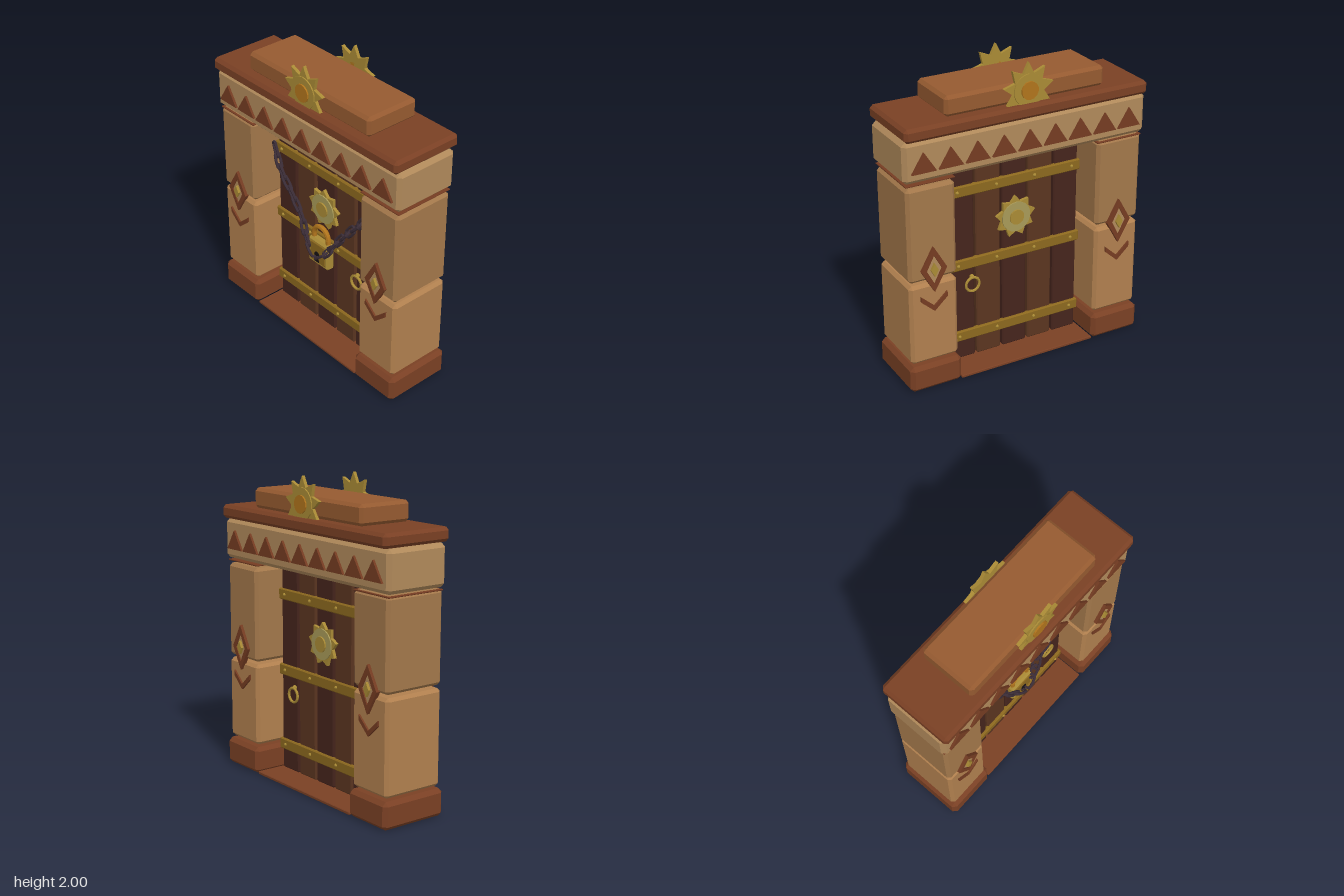
import * as THREE from 'three';
import { ConvexGeometry } from 'three/addons/geometries/ConvexGeometry.js';

const mat = (color) => new THREE.MeshStandardMaterial({ color, flatShading: true });
const M = {
  red: mat(0x7a4024), cap: mat(0x955a30), trim: mat(0x753c22), lintel: mat(0xb0895a),
  upper: mat(0xa2774a), lower: mat(0xb07f4e), plankA: mat(0x45241c), plankB: mat(0x5a3520),
  brass: mat(0x8c681e), gold: mat(0xa98a35), pale: mat(0xa89a58), amber: mat(0xb0741c),
  iron: mat(0x3a2c36), black: mat(0x151012),
};

function add(parent, name, geo, material, x = 0, y = 0, z = 0) {
  const m = new THREE.Mesh(geo, material);
  m.name = name;
  m.position.set(x, y, z);
  parent.add(m);
  return m;
}

// Box with chamfered edges, given by its extents
function block(parent, name, material, x0, x1, y0, y1, z0, z1, b = 0.02) {
  const h = [(x1 - x0) / 2, (y1 - y0) / 2, (z1 - z0) / 2];
  const pts = [];
  for (const sx of [-1, 1]) for (const sy of [-1, 1]) for (const sz of [-1, 1])
    for (let k = 0; k < 3; k++) {
      const d = h.map((v, i) => (i === k ? v : v - b));
      pts.push(new THREE.Vector3(sx * d[0], sy * d[1], sz * d[2]));
    }
  return add(parent, name, new ConvexGeometry(pts), material, (x0 + x1) / 2, (y0 + y1) / 2, (z0 + z1) / 2);
}

// Flat plate cut from an outline, from z = 0 forward
function plate(points, depth, hole) {
  const shape = new THREE.Shape(points.map(([x, y]) => new THREE.Vector2(x, y)));
  if (hole) shape.holes.push(new THREE.Path(hole.map(([x, y]) => new THREE.Vector2(x, y))));
  return new THREE.ExtrudeGeometry(shape, { depth, bevelEnabled: false });
}

const diamond = (w, h) => [[w, 0], [0, h], [-w, 0], [0, -h]];
const disc = (r, depth, n = 16) => new THREE.CylinderGeometry(r, r, depth, n).rotateX(Math.PI / 2);

function sun(parent, name, y, z, r, rim, core, coreMat, rimMat) {
  const g = new THREE.Group();
  g.name = name;
  g.position.set(0, y, z);
  const pts = [];
  for (let i = 0; i < 18; i++) {
    const a = Math.PI / 2 + (i * Math.PI) / 9, d = i % 2 ? rim * 0.98 : r;
    pts.push([Math.cos(a) * d, Math.sin(a) * d]);
  }
  add(g, 'sunRays', plate(pts, 0.022), M.gold);
  add(g, 'sunDisc', disc(rim * 0.95, 0.03, 18), rimMat, 0, 0, 0.015);
  add(g, 'sunCore', disc(core, 0.04, 14), coreMat, 0, 0, 0.02);
  parent.add(g);
}

// Ornaments carried by both faces; ringX is the handle side
function face(name, ringX) {
  const g = new THREE.Group();
  g.name = name;
  const tri = plate([[-0.08, 0], [0.08, 0], [0, 0.125]], 0.025);
  for (let i = -4; i <= 4; i++) add(g, 'friezeTriangle', tri, M.trim, i * 0.176, 1.465, 0.21);
  sun(g, 'crestSun', 1.83, 0.185, 0.17, 0.108, 0.057, M.amber, M.gold);
  sun(g, 'doorSun', 0.945, 0.035, 0.14, 0.105, 0.05, M.gold, M.pale);

  for (const s of [-1, 1]) {
    const x = s * 0.657;
    add(g, 'diamondFrame', plate(diamond(0.085, 0.15), 0.03, diamond(0.05, 0.095)), M.trim, x, 0.825, 0.2);
    add(g, 'diamondInlay', plate(diamond(0.052, 0.098), 0.022), M.lintel, x, 0.825, 0.2);
    add(g, 'diamondStud', plate(diamond(0.024, 0.045), 0.04), M.gold, x, 0.825, 0.2);
    add(g, 'chevron', plate([[-0.088, 0.655], [-0.088, 0.62], [0, 0.54], [0.088, 0.62], [0.088, 0.655], [0, 0.575]], 0.02),
      M.trim, x, 0, 0.202);
  }

  // Door bands with rivets
  for (const y of [0.19, 0.695, 1.195]) {
    block(g, 'band', M.brass, -0.47, 0.47, y - 0.036, y + 0.036, 0.02, 0.052, 0.007);
    for (const x of [-0.405, -0.135, 0.135, 0.405])
      add(g, 'rivet', new THREE.SphereGeometry(0.011, 8, 6), M.gold, x, y, 0.052);
  }

  // Ring handle
  add(g, 'ringHandle', new THREE.TorusGeometry(0.047, 0.009, 6, 16), M.gold, ringX, 0.548, 0.056);
  add(g, 'ringMount', new THREE.SphereGeometry(0.016, 8, 6), M.gold, ringX, 0.597, 0.045);
  return g;
}

// Stretched ring, long in x
function linkGeometry() {
  const geo = new THREE.TorusGeometry(0.026, 0.0095, 6, 12);
  const p = geo.attributes.position;
  for (let i = 0; i < p.count; i++) {
    const x = p.getX(i);
    if (Math.abs(x) > 1e-4) p.setX(i, x + Math.sign(x) * 0.026);
  }
  geo.computeVertexNormals();
  return geo;
}

function chain(parent, side) {
  const g = new THREE.Group();
  g.name = side < 0 ? 'rightChain' : 'leftChain';
  const curve = new THREE.CatmullRomCurve3([
    [0.465, 1.2, 0.06], [0.39, 1.06, 0.075], [0.29, 0.945, 0.08], [0.18, 0.81, 0.085],
    [0.1, 0.69, 0.11], [0.015, 0.61, 0.125],
  ].map(([x, y, z]) => new THREE.Vector3(side * x, y, z)));
  const geo = linkGeometry(), n = 10, X = new THREE.Vector3(1, 0, 0);
  for (let i = 0; i < n; i++) {
    const t = (i + 0.4) / n, c = curve.getPointAt(t);
    const link = add(g, 'chainLink', geo, M.iron, c.x, c.y, c.z);
    link.quaternion.setFromUnitVectors(X, curve.getTangentAt(t));
    link.rotateX(i % 2 ? 1.15 : 0.25);
  }
  parent.add(g);
}

export function createModel() {
  const model = new THREE.Group();
  model.name = 'lockedGate';

  // Stone pillars; the two sides are split at different heights
  for (const [s, split, top] of [[-1, 0.805, 1.39], [1, 0.74, 1.365]]) {
    const span = (a, b) => (s > 0 ? [a, b] : [-b, -a]);
    block(model, 'pillarBase', M.red, ...span(0.48, 0.83), 0, 0.175, -0.23, 0.23, 0.025);
    block(model, 'lowerPillarBlock', M.lower, ...span(0.495, 0.815), 0.19, split - 0.01, -0.21, 0.21);
    block(model, 'upperPillarBlock', M.upper, ...span(0.495, 0.815), split + 0.01, top, -0.21, 0.21);
    block(model, 'pillarCapSlab', M.trim, ...span(0.495, 0.815), 1.38, 1.389, -0.205, 0.205, 0.002);
  }

  // Lintel, cornice, crest and sill
  block(model, 'lintel', M.lintel, -0.83, 0.83, 1.4, 1.66, -0.22, 0.22, 0.025);
  block(model, 'cornice', M.red, -0.825, 0.825, 1.663, 1.75, -0.247, 0.247);
  block(model, 'crest', M.cap, -0.54, 0.54, 1.752, 1.88, -0.187, 0.187);
  block(model, 'sill', M.red, -0.48, 0.48, 0, 0.02, -0.22, 0.22, 0.004);

  // Door planks
  for (let i = -2; i <= 2; i++)
    block(model, 'plank', i % 2 ? M.plankB : M.plankA, i * 0.186 - 0.086, i * 0.186 + 0.086, 0.022, 1.39, -0.035, 0.035, 0.008);

  const front = face('frontOrnaments', 0.31);
  const back = face('backOrnaments', -0.31);
  back.rotation.y = Math.PI;
  model.add(front, back);

  // Padlock
  const lock = new THREE.Group();
  lock.name = 'padlock';
  block(lock, 'lockBody', M.gold, -0.095, 0.095, 0.53, 0.72, 0.045, 0.105, 0.014);
  block(lock, 'lockFrontPlate', M.brass, -0.07, 0.07, 0.555, 0.7, 0.09, 0.111, 0.005);
  add(lock, 'shackle', new THREE.TorusGeometry(0.067, 0.017, 8, 14, Math.PI), M.amber, 0, 0.745, 0.075);
  for (const s of [-1, 1])
    add(lock, 'shackleLeg', new THREE.CylinderGeometry(0.017, 0.017, 0.05, 8), M.amber, s * 0.067, 0.725, 0.075);
  add(lock, 'keyhole', disc(0.022, 0.01, 12), M.black, 0, 0.62, 0.111);
  add(lock, 'keyholeSlot', plate([[-0.01, 0.62], [-0.018, 0.565], [0.018, 0.565], [0.01, 0.62]], 0.01), M.black, 0, 0, 0.106);
  model.add(lock);

  // Chains draped from the top band to the padlock
  chain(model, 1);
  chain(model, -1);
  return model;
}
